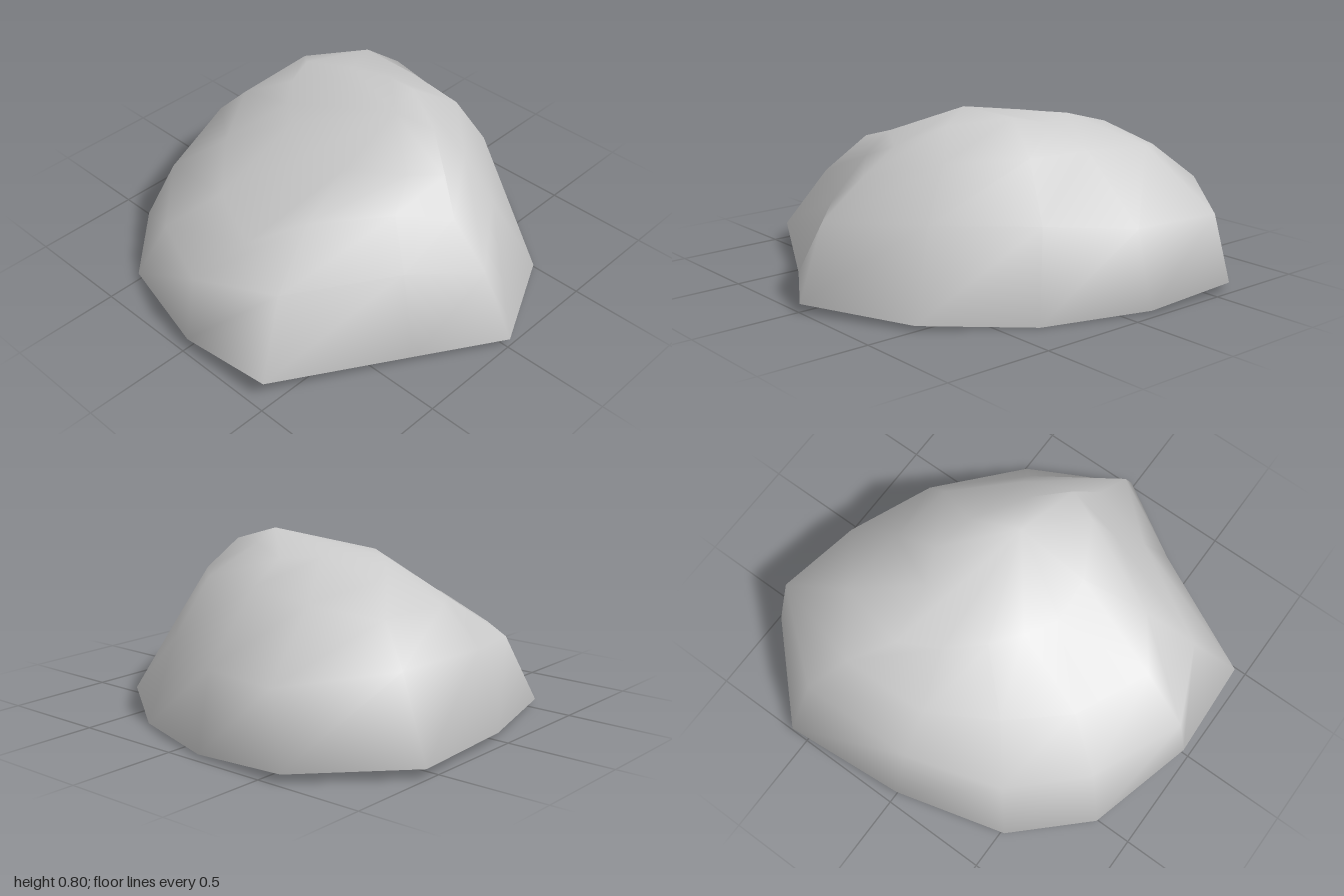
import * as THREE from 'three';

// Cross-sections of the boulder, each twelve [x, y, z] corners in the same order.
const base = [
  [-0.60, 0.04, -0.98], [-0.13, 0.01, -0.96], [0.35, 0.00, -0.79], [0.76, 0.02, -0.49],
  [1.00, 0.04, -0.01], [0.77, 0.04, 0.36], [0.46, 0.09, 0.95], [0.00, 0.05, 0.97],
  [-0.51, 0.025, 0.83], [-0.81, 0.035, 0.52], [-0.95, 0.035, 0.00], [-1.00, 0.045, -0.58],
];
const shoulder = [
  [-0.52, 0.36, -0.95], [-0.12, 0.35, -0.88], [0.26, 0.39, -0.70], [0.59, 0.38, -0.36],
  [0.86, 0.36, 0.02], [0.63, 0.37, 0.28], [0.35, 0.38, 0.75], [0.00, 0.36, 0.91],
  [-0.41, 0.30, 0.72], [-0.70, 0.33, 0.43], [-0.84, 0.38, 0.00], [-0.85, 0.40, -0.54],
];
const slope = [
  [-0.43, 0.62, -0.62], [-0.10, 0.64, -0.59], [0.20, 0.64, -0.55], [0.46, 0.61, -0.30],
  [0.66, 0.53, 0.00], [0.50, 0.57, 0.20], [0.28, 0.58, 0.51], [0.08, 0.46, 0.67],
  [-0.26, 0.45, 0.51], [-0.49, 0.51, 0.27], [-0.67, 0.55, -0.02], [-0.68, 0.56, -0.43],
];
const crown = [
  [-0.24, 0.745, -0.31], [-0.07, 0.73, -0.39], [0.11, 0.77, -0.34], [0.36, 0.745, -0.20],
  [0.54, 0.66, -0.07], [0.46, 0.695, 0.08], [0.21, 0.67, 0.21], [0.00, 0.65, 0.23],
  [-0.16, 0.705, 0.16], [-0.29, 0.70, 0.06], [-0.42, 0.69, -0.09], [-0.51, 0.67, -0.28],
];
const peak = [0.20, 0.80, -0.12];
const underside = [0, 0.03, 0];

export function createModel() {
  // Rim of the flat underside, just inside the base outline
  const foot = base.map(([x, y, z]) => [x * 0.84, y * 0.8 + 0.006, z * 0.84]);
  const rings = [foot, base, shoulder, slope, crown];
  const n = base.length;
  const points = [...rings.flat(), peak, underside];
  const top = rings.length * n;
  const bottom = top + 1;
  const index = [];

  for (let i = 0; i < n; i++) {
    const j = (i + 1) % n;
    // Skin between neighbouring cross-sections
    for (let r = 0; r < rings.length - 1; r++) {
      const lo = r * n;
      const hi = lo + n;
      index.push(lo + j, lo + i, hi + i, lo + j, hi + i, hi + j);
    }
    // Top and bottom caps
    index.push(top - n + j, top - n + i, top);
    index.push(i, j, bottom);
  }

  const geometry = new THREE.BufferGeometry();
  geometry.setAttribute('position', new THREE.Float32BufferAttribute(points.flat(), 3));
  geometry.setIndex(index);
  geometry.computeVertexNormals();

  const boulder = new THREE.Mesh(geometry, new THREE.MeshStandardMaterial({ color: 0xcccccc }));
  boulder.name = 'boulder';

  const group = new THREE.Group();
  group.name = 'rock';
  group.add(boulder);
  return group;
}
